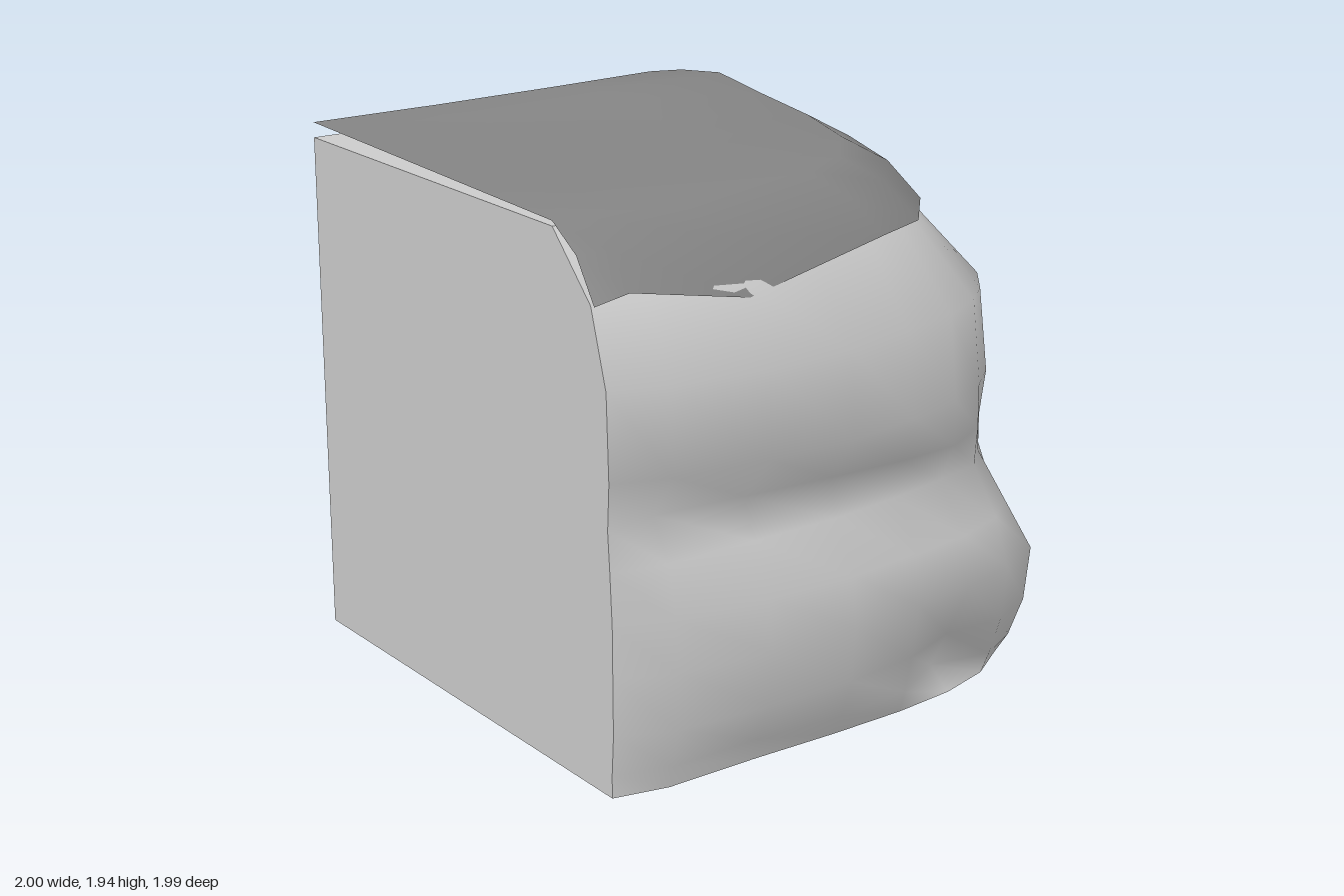
import * as THREE from 'three';

const rock = new THREE.MeshStandardMaterial({ color: 0xcccccc, side: THREE.DoubleSide });
const turf = new THREE.MeshStandardMaterial({ color: 0x848484, side: THREE.DoubleSide });

// Smooth sheet through rows of [x, y, z] points
function sheet(name, rows, material = rock) {
  const n = rows[0].length;
  const index = [];
  for (let r = 0; r < rows.length - 1; r++) {
    for (let c = 0; c < n - 1; c++) {
      const a = r * n + c, d = a + n;
      index.push(a, a + 1, d, a + 1, d + 1, d);
    }
  }
  const geometry = new THREE.BufferGeometry();
  geometry.setAttribute('position', new THREE.Float32BufferAttribute(rows.flat(2), 3));
  geometry.setIndex(index);
  geometry.computeVertexNormals();
  const mesh = new THREE.Mesh(geometry, material);
  mesh.name = name;
  return mesh;
}

// Shrink a plan point toward the square corner, so the cut sides stay flat
const shrink = ([x, z], s) => [-1 + (x + 1) * s, -1 + (z + 1) * s];

// Widest plan outline of the rock: x, z, inward direction in degrees
const outline = [
  [-1, 0.87, 90], [-0.8, 0.96, 90], [-0.45, 0.99, 88], [-0.1, 0.99, 86], [0.2, 0.96, 83],
  [0.45, 0.93, 78], [0.68, 0.87, 65], [0.88, 0.77, 45], [0.96, 0.5, 20], [0.97, 0.1, 8],
  [1, -0.25, 0], [0.98, -0.6, 0], [0.93, -0.88, 0], [0.85, -1, 0],
];

// Height, then how far the rock is worn in at each outline point (hundredths)
const wear = [
  [0, [1, 6, 10, 10, 8, 8, 9, 12, 12, 12, 15, 13, 11, 6]],
  [0.08, [1, 4, 8, 6, 6, 16, 6, 7, 6, 5, 8, 7, 7, 4]],
  [0.22, [0, 1, 2, 2, 3, 9, 2, 2, 1, 1, 4, 4, 4, 2]],
  [0.42, [0, 1, 0, 0, 0, 0, 0, 0, 0, 0, 3, 4, 5, 2]],
  [0.6, [0, 2, 2, 2, 2, 3, 5, 10, 4, 2, 5, 6, 8, 4]],
  [0.78, [1, 6, 10, 11, 12, 14, 14, 20, 10, 7, 9, 8, 9, 4]],
  [0.92, [2, 15, 15, 13, 9, 8, 13, 20, 11, 6, 6, 6, 7, 3]],
  [1.08, [1, 3, 2, 2, 4, 8, 13, 18, 8, 3, 0, 2, 4, 3]],
  [1.38, [2, 4, 3, 4, 8, 11, 16, 21, 11, 6, 4, 4, 6, 4]],
  [1.64, [10, 15, 14, 22, 26, 33, 40, 44, 35, 23, 19, 17, 17, 20]],
];

// Lower rim of the cap: x, y, z
const rim = [
  [-1, 1.64, 0.79], [-0.88, 1.67, 0.81], [-0.46, 1.6, 0.87], [0.21, 1.67, 0.72], [0.46, 1.66, 0.6],
  [0.67, 1.66, 0.36], [0.79, 1.68, -0.02], [0.84, 1.7, -0.4], [0.83, 1.68, -0.7],
  [0.77, 1.67, -0.9], [0.67, 1.67, -1],
];

// Gentle slope of the cap with a hump near the back right
const capHeight = (x, z) =>
  1.905 - 0.024 * (z + 1) + 0.042 * Math.exp(-3 * (x - 0.54) ** 2 - 20 * (z + 0.76) ** 2);

export function createModel() {
  const group = new THREE.Group();
  group.name = 'cliffCorner';
  const topY = 1.85;

  // Worn rock walls
  const rows = wear.map(([y, depths]) => outline.map(([x, z, deg], i) => {
    const a = THREE.MathUtils.degToRad(deg), d = depths[i] / 100;
    return [x - Math.cos(a) * d, y, z - Math.sin(a) * d];
  }));
  rows.push(rows[rows.length - 1].map(([x, , z]) => {
    const [px, pz] = shrink([x, z], 0.88);
    return [px, topY, pz];
  }));
  group.add(sheet('rockWalls', rows));

  // Flat cut sides, underside and rock top, each fanned from the square corner
  const corner = (y, like) => like.map(() => [-1, y, -1]);
  const edge = (i) => [...rows.map((row) => row[i]), [-1, topY, -1]];
  const leftEdge = edge(0), backEdge = edge(outline.length - 1);
  const top = rows[rows.length - 1];
  group.add(
    sheet('leftCut', [leftEdge, corner(0, leftEdge)]),
    sheet('backCut', [corner(0, backEdge), backEdge]),
    sheet('underside', [corner(0, rows[0]), rows[0]]),
    sheet('rockTop', [top, corner(topY, top)]),
  );

  // Thin overhanging cap: lip, shoulder, then the top surface
  const capRows = [1, 0.945, 0.87, 0.6, 0.3, 0].map((s) => rim.map(([x, y, z]) => {
    const [px, pz] = shrink([x, z], s);
    const h = capHeight(px, pz);
    const drop = s === 1 ? h - y : s === 0.945 ? 0.08 : 0;
    return [px, h - drop, pz];
  }));
  group.add(sheet('cap', capRows, turf));

  return group;
}
